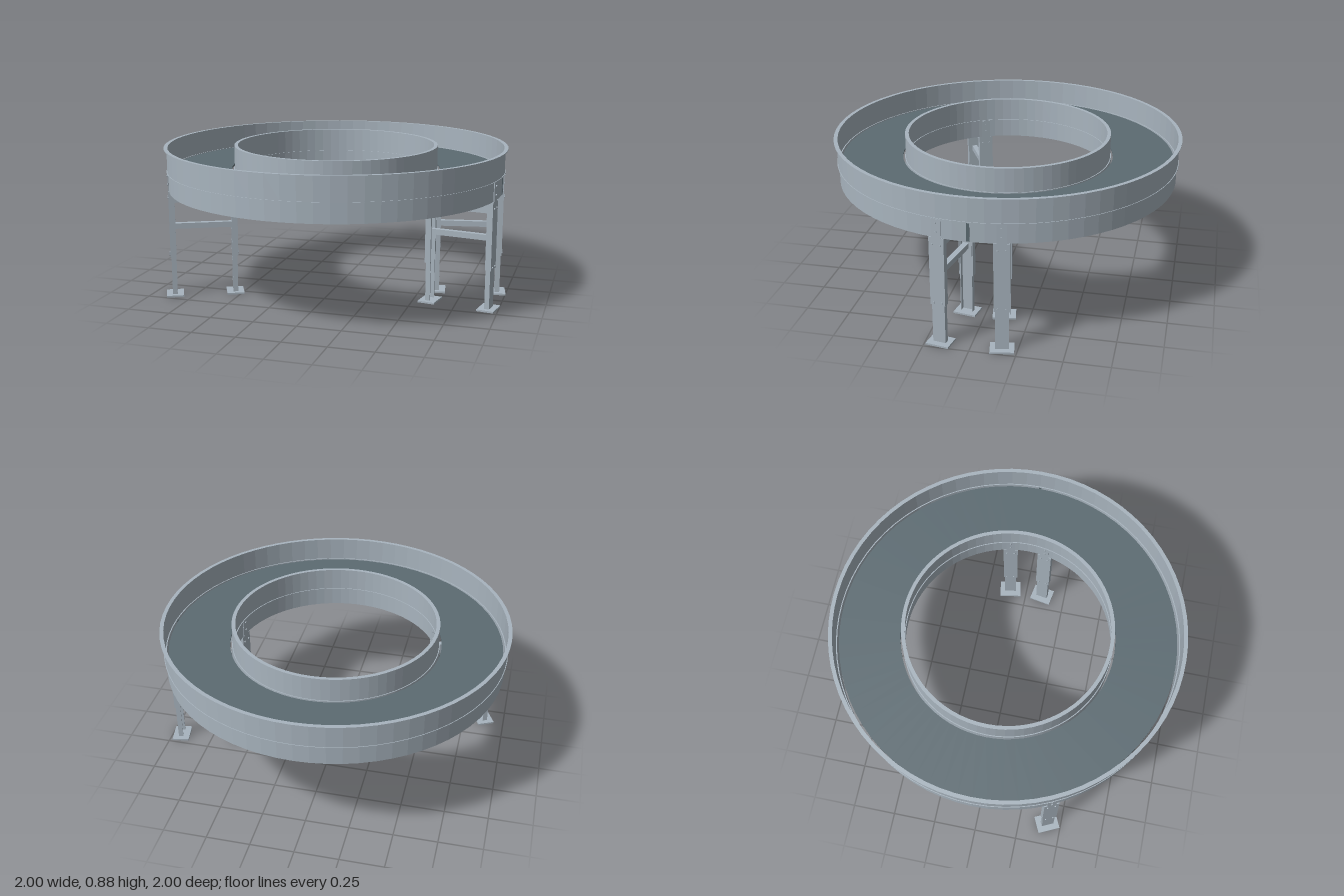
import * as THREE from 'three';

const steel = new THREE.MeshStandardMaterial({ color: 0xa8b4be });
steel.name = 'galvanised steel';
const rubber = new THREE.MeshStandardMaterial({ color: 0x5c6b72 });
rubber.name = 'belt grey';

const deg = Math.PI / 180;
const SEGMENTS = 72;

function add(parent, name, geometry, material, x = 0, y = 0, z = 0) {
  const mesh = new THREE.Mesh(geometry, material);
  mesh.name = name;
  mesh.position.set(x, y, z);
  parent.add(mesh);
  return mesh;
}

// Box given by its lower and upper limits; x limits may come in either order.
function block(parent, name, x0, x1, y0, y1, z0, z1, material = steel) {
  const geometry = new THREE.BoxGeometry(Math.abs(x1 - x0), y1 - y0, z1 - z0);
  return add(parent, name, geometry, material, (x0 + x1) / 2, (y0 + y1) / 2, (z0 + z1) / 2);
}

// Faceted ring with a rectangular section.
function ring(parent, name, r0, r1, y0, y1, material = steel) {
  const section = [[r0, y0], [r1, y0], [r1, y1], [r0, y1], [r0, y0]];
  const lathe = new THREE.LatheGeometry(section.map(p => new THREE.Vector2(...p)), SEGMENTS);
  const geometry = lathe.toNonIndexed();
  geometry.computeVertexNormals();
  return add(parent, name, geometry, material);
}

// Upright C-channel: web at radius "face", flanges running away from side "dir".
function channel(parent, name, face, dir, depth, width, y0, y1) {
  const t = 0.005, h = width / 2;
  const group = new THREE.Group();
  group.name = name;
  block(group, 'web', face, face - dir * t, y0, y1, -h, h);
  for (const s of [-1, 1]) {
    const a = s * h, b = s * (h - t);
    block(group, 'flange', face - dir * t, face - dir * depth, y0, y1, Math.min(a, b), Math.max(a, b));
  }
  parent.add(group);
}

// Telescopic leg with foot, mounting tab and bolts.
function leg(name, face, dir) {
  const group = new THREE.Group();
  group.name = name;
  channel(group, 'upperLeg', face, dir, 0.034, 0.085, 0.235, 0.625);
  channel(group, 'lowerLeg', face - dir * 0.005, dir, 0.028, 0.072, 0.01, 0.5);
  block(group, 'foot', face - dir * 0.07, face + dir * 0.03, 0, 0.01, -0.065, 0.065);
  block(group, 'mountingTab', face, face - dir * 0.005, 0.625, 0.73, -0.026, 0.026);
  const bolts = [[0.25, -0.022], [0.25, 0.022], [0.585, -0.022], [0.585, 0.022], [0.66, 0], [0.71, 0]];
  for (const [y, z] of bolts) {
    const bolt = add(group, 'bolt', new THREE.CylinderGeometry(0.006, 0.006, 0.008, 6), steel, face + dir * 0.002, y, z);
    bolt.rotation.z = Math.PI / 2;
  }
  return group;
}

// Radial support: outer and inner leg joined by two crossbars.
function support(name, angle) {
  const group = new THREE.Group();
  group.name = name;
  group.add(leg('outerLeg', 0.981, 1), leg('innerLeg', 0.588, -1));
  block(group, 'upperCrossbar', 0.615, 0.953, 0.555, 0.62, -0.016, 0.016);
  block(group, 'lowerCrossbar', 0.615, 0.953, 0.4, 0.432, -0.016, 0.016);
  group.rotation.y = angle;
  return group;
}

export function createModel() {
  const model = new THREE.Group();
  model.name = 'roundConveyor';
  const body = new THREE.Group();
  body.name = 'conveyor';
  body.position.x = -0.003;
  model.add(body);

  // Belt
  ring(body, 'belt', 0.61, 0.959, 0.73, 0.738, rubber);

  // Outer rail: lower side, ledge, guard and rolled top
  ring(body, 'outerSideRail', 0.97, 0.976, 0.625, 0.733);
  ring(body, 'outerLedge', 0.97, 0.986, 0.733, 0.738);
  ring(body, 'outerGuard', 0.976, 0.982, 0.738, 0.87);
  ring(body, 'outerGuardLip', 0.976, 0.998, 0.87, 0.875);

  // Inner rail
  ring(body, 'innerSideRail', 0.593, 0.599, 0.625, 0.733);
  ring(body, 'innerLedge', 0.583, 0.599, 0.733, 0.738);
  ring(body, 'innerGuard', 0.588, 0.594, 0.738, 0.87);
  ring(body, 'innerGuardLip', 0.573, 0.594, 0.87, 0.875);

  // Joint where the rail ends meet
  block(body, 'outerRailJoint', 0.968, 0.979, 0.628, 0.733, -0.008, 0.008, rubber);

  // Supports
  body.add(support('frontLeftSupport', -10 * deg));
  body.add(support('backLeftSupport', 10 * deg));
  body.add(support('rightSupport', 205.7 * deg));
  return model;
}
